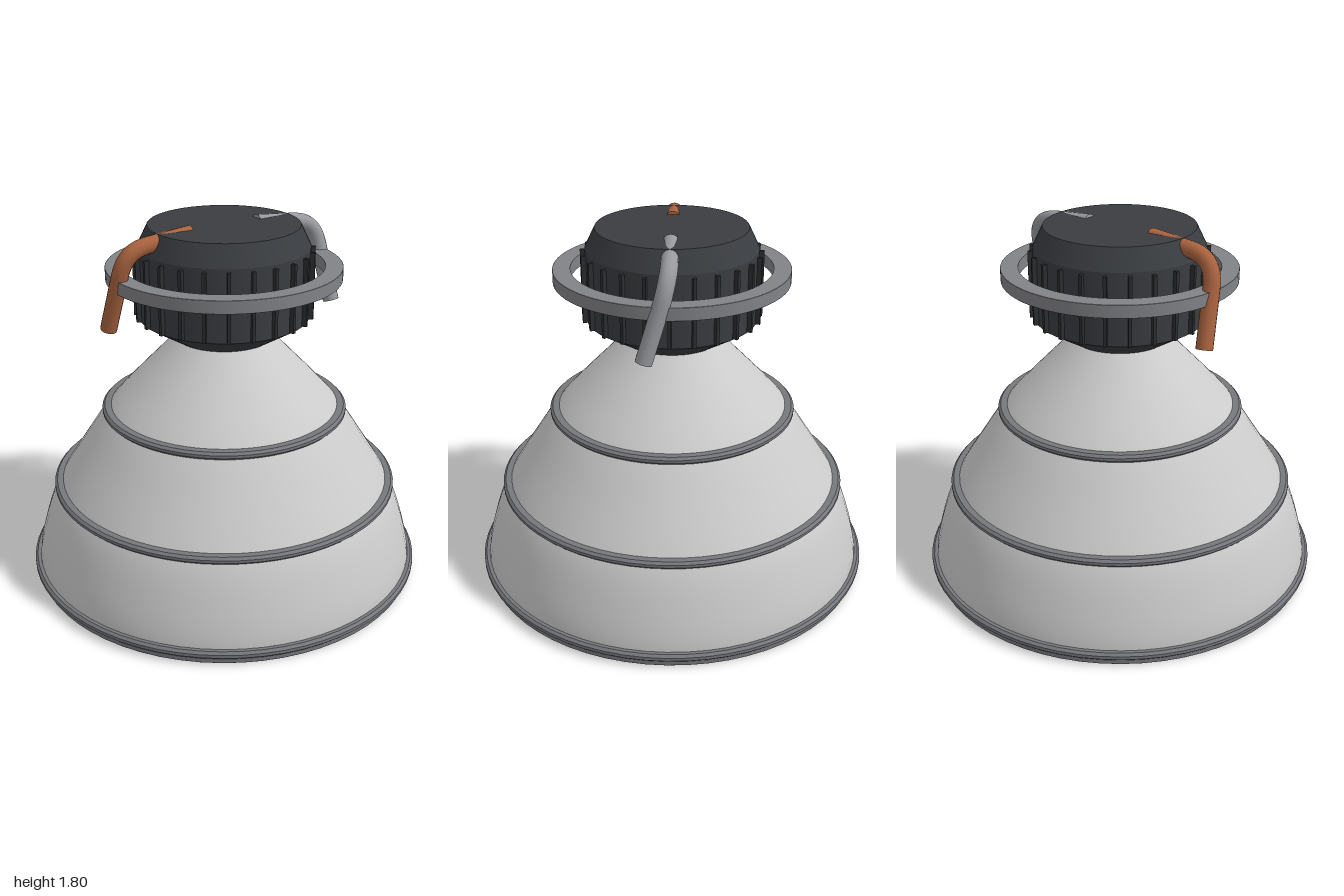
import * as THREE from 'three';
import { toCreasedNormals } from 'three/addons/utils/BufferGeometryUtils.js';

const mat = (color, side = THREE.FrontSide) =>
  new THREE.MeshStandardMaterial({ color, side });
const shellMat = mat(0xcccccc, THREE.DoubleSide);
const bandMat = mat(0x77787d);
const ringMat = mat(0x828387);
const headMat = mat(0x3a3d41);
const ribMat = mat(0x2c2e31);
const steelMat = mat(0x97999d);
const copperMat = mat(0xa9633f);

function add(parent, name, geometry, material) {
  const mesh = new THREE.Mesh(geometry, material);
  mesh.name = name;
  parent.add(mesh);
  return mesh;
}

// Revolved profile of [radius, height] pairs, listed upwards on the outside
function turned(profile, segments = 64, crease = 0.5) {
  const points = profile.map(([r, y]) => new THREE.Vector2(r, y));
  return toCreasedNormals(new THREE.LatheGeometry(points, segments), crease);
}

// Rectangular hoop with slightly bevelled outer edges
function hoop(inner, outer, y0, y1, bevel) {
  return turned([
    [inner, y0], [outer - bevel, y0], [outer, y0 + bevel],
    [outer, y1 - bevel], [outer - bevel, y1], [inner, y1], [inner, y0],
  ], 64, 0.3);
}

// Bent pipe with closed ends; side is +1 (left) or -1 (right)
function pipe(side) {
  const radius = 0.04;
  const path = new THREE.CurvePath();
  const p = (x, y, z) => new THREE.Vector3(side * x, y, side * z);
  const a = p(0.185, 1.763, 0), b = p(0.38, 1.745, 0);
  const c = p(0.548, 1.6, 0.03), d = p(0.575, 1.335, 0.11);
  path.add(new THREE.LineCurve3(a, b));
  path.add(new THREE.CubicBezierCurve3(b, p(0.47, 1.737, 0), p(0.535, 1.72, 0), c));
  path.add(new THREE.LineCurve3(c, d));
  const group = new THREE.Group();
  const material = side > 0 ? steelMat : copperMat;
  add(group, 'pipeTube', new THREE.TubeGeometry(path, 40, radius, 16), material);
  for (const t of [0, 1]) {
    const cap = add(group, 'pipeCap', new THREE.CircleGeometry(radius, 16), material);
    const outward = path.getTangentAt(t).multiplyScalar(t ? 1 : -1);
    cap.position.copy(path.getPointAt(t));
    cap.quaternion.setFromUnitVectors(new THREE.Vector3(0, 0, 1), outward);
  }
  return group;
}

export function createModel() {
  const model = new THREE.Group();
  model.name = 'engine';

  // Open bell, its flank a smooth curve up to the throat
  const flank = new THREE.SplineCurve([
    [0.975, 0], [0.968, 0.1], [0.94, 0.22], [0.89, 0.37], [0.835, 0.48],
    [0.72, 0.66], [0.585, 0.86], [0.45, 1.01], [0.34, 1.125], [0.235, 1.235],
  ].map(([r, y]) => new THREE.Vector2(r, y)));
  add(model, 'bell', new THREE.LatheGeometry(flank.getPoints(36), 64), shellMat);

  // Stiffening bands and the exit lip
  const bands = [[0.93, 1.0, 0.03, 0.07], [0.82, 0.872, 0.45, 0.488], [0.56, 0.613, 0.842, 0.88]];
  for (const [inner, outer, y0, y1] of bands) {
    add(model, 'bellBand', hoop(inner, outer, y0, y1, 0.012), bandMat);
  }
  add(model, 'exitLip', hoop(0.955, 0.98, 0, 0.035, 0.002), bandMat);

  // Head: cone, drum and chamfered lid
  add(model, 'head', turned([
    [0, 1.225], [0.235, 1.225], [0.415, 1.335], [0.415, 1.685], [0.365, 1.787], [0, 1.787],
  ], 48, 0.4), headMat);

  // Grip ribs around the drum
  const ribCount = 24;
  for (let i = 0; i < ribCount; i++) {
    const angle = (i / ribCount) * Math.PI * 2;
    const rib = add(model, 'headRib', new THREE.BoxGeometry(0.016, 0.33, 0.05), ribMat);
    rib.position.set(Math.sin(angle) * 0.413, 1.505, Math.cos(angle) * 0.413);
    rib.rotation.y = angle;
  }

  // Flat ring floating round the head
  add(model, 'headRing', hoop(0.485, 0.57, 1.53, 1.592, 0.001), ringMat);

  // Feed pipes, one turned half round from the other
  for (const side of [1, -1]) {
    const feed = pipe(side);
    feed.name = side > 0 ? 'leftPipe' : 'rightPipe';
    model.add(feed);
  }
  return model;
}
